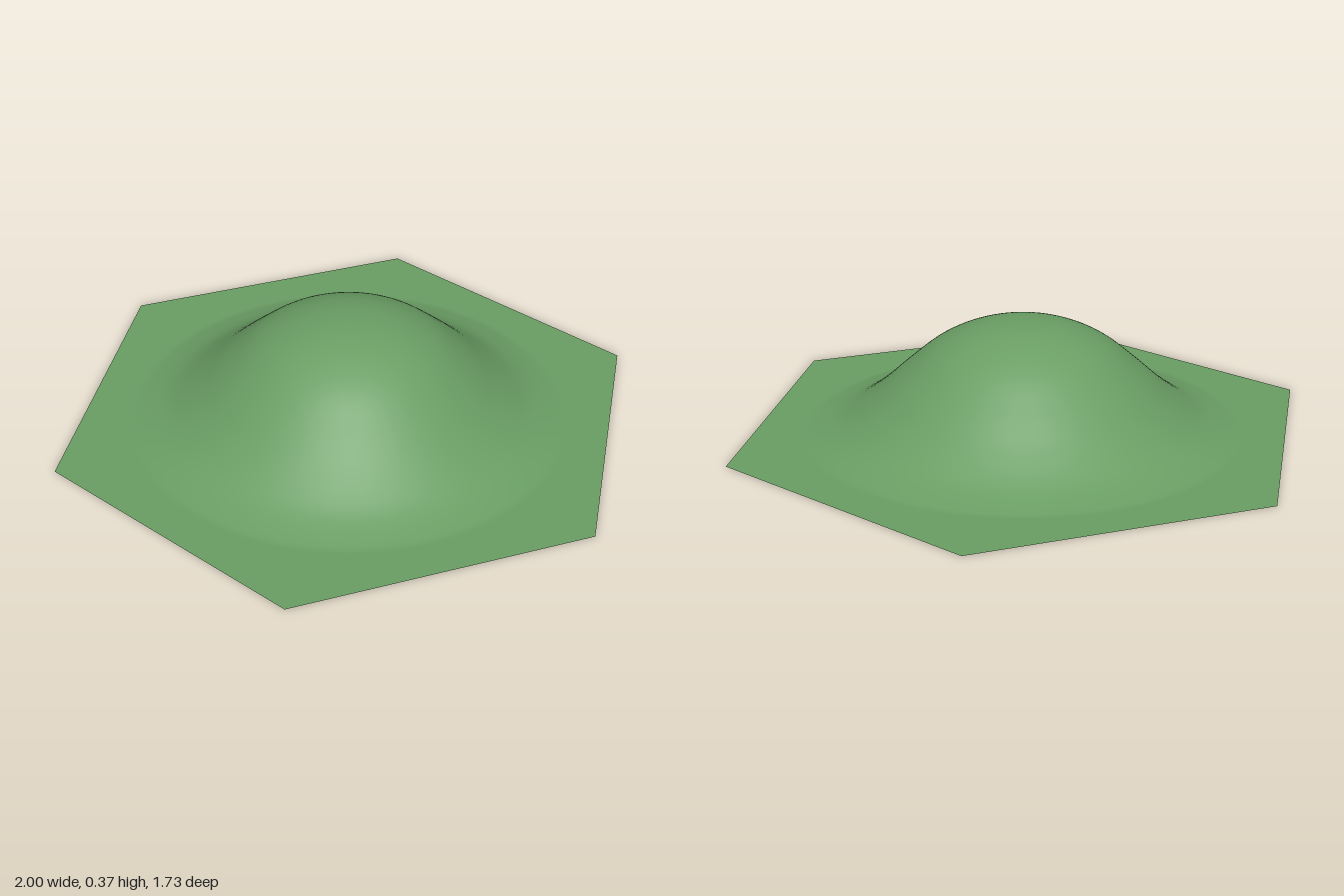
import * as THREE from 'three';

// Hexagonal terrain tile: a thin sheet with a smooth round hill in the middle.
export function createModel() {
  const group = new THREE.Group();
  group.name = 'hillTile';

  // Hill profile from its foot up to the summit (radius, height)
  const curve = new THREE.SplineCurve([
    [0.8, 0], [0.75, 0], [0.7, 0.005], [0.6, 0.04], [0.5, 0.11], [0.4, 0.2],
    [0.3, 0.283], [0.2, 0.335], [0.1, 0.362], [0, 0.37],
  ].map(([r, y]) => new THREE.Vector2(r, y)));
  const hill = curve.getPoints(54).map(p => new THREE.Vector2(Math.max(0, p.x), Math.max(0, p.y)));
  const rim = new THREE.Vector2(0.87, 0);
  const geometry = new THREE.LatheGeometry([rim, ...hill], 96);

  // Push the outermost ring out to the hexagon, with corners on the x axis
  const pos = geometry.attributes.position;
  const sector = Math.PI / 3;
  for (let i = 0; i < pos.count; i++) {
    const x = pos.getX(i), z = pos.getZ(i);
    if (Math.hypot(x, z) < 0.86) continue;
    const angle = Math.atan2(x, z);
    const offset = angle - Math.round(angle / sector) * sector;
    const r = Math.cos(Math.PI / 6) / Math.cos(offset);
    pos.setXYZ(i, r * Math.sin(angle), 0, r * Math.cos(angle));
  }

  const material = new THREE.MeshStandardMaterial({ color: 0x6a9e64, side: THREE.DoubleSide });
  const ground = new THREE.Mesh(geometry, material);
  ground.name = 'hillSurface';
  group.add(ground);
  return group;
}
